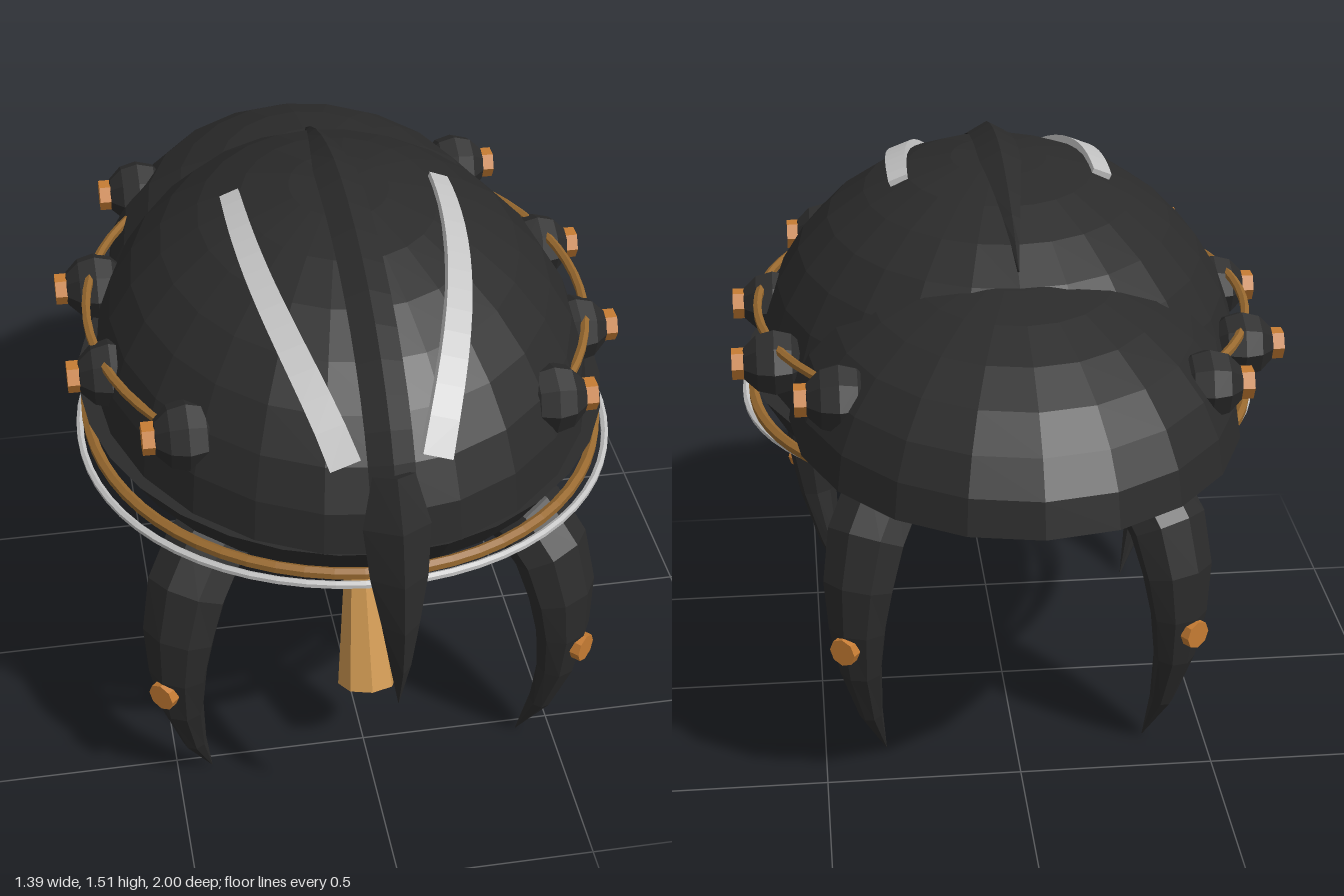
import * as THREE from 'three';

const mat = (name, color, side = THREE.FrontSide) => {
  const m = new THREE.MeshStandardMaterial({ color, side, flatShading: true });
  m.name = name;
  return m;
};

// Sweep an n-sided section along a path in the local xy plane.
// Each station: [x, y, half thickness in the plane, half width along z].
function sweep(stations, n) {
  const pos = [], idx = [];
  stations.forEach(([x, y, h, w], i) => {
    const a = stations[Math.max(i - 1, 0)], b = stations[Math.min(i + 1, stations.length - 1)];
    const t = new THREE.Vector2(b[0] - a[0], b[1] - a[1]).normalize();
    for (let j = 0; j < n; j++) {
      const k = (j / n) * Math.PI * 2, c = Math.cos(k) * h;
      pos.push(x - t.y * c, y + t.x * c, Math.sin(k) * w);
    }
  });
  for (let i = 0; i < stations.length - 1; i++)
    for (let j = 0; j < n; j++) {
      const a = i * n + j, b = i * n + (j + 1) % n;
      idx.push(a, b, a + n, b, b + n, a + n);
    }
  for (let j = 1; j < n - 1; j++) { // end caps
    const e = (stations.length - 1) * n;
    idx.push(0, j + 1, j, e, e + j, e + j + 1);
  }
  const g = new THREE.BufferGeometry();
  g.setAttribute('position', new THREE.Float32BufferAttribute(pos, 3));
  g.setIndex(idx);
  g.computeVertexNormals();
  return g;
}

export function createModel() {
  const root = new THREE.Group();
  const black = mat('black shell', 0x2b2b2b, THREE.DoubleSide);
  const silver = mat('silver', 0xc4c4c4);
  const bronze = mat('bronze trim', 0x98692f);
  const orange = mat('orange gold', 0xc67c33);
  const tan = mat('tan gold', 0xcc9650);

  const add = (name, geo, material, x = 0, y = 0, z = 0, parent = root) => {
    const m = new THREE.Mesh(geo, material);
    m.name = name;
    m.position.set(x, y, z);
    parent.add(m);
    return m;
  };

  // Main dome and the lower rear shell with its flat underside
  const C = new THREE.Vector3(0, 0.945, 0.1), R = new THREE.Vector3(0.625, 0.545, 0.77);
  const half = (w, d) => new THREE.SphereGeometry(1, w, d, 0, Math.PI * 2, 0, Math.PI / 2);
  add('dome', half(24, 8), black, C.x, C.y, C.z).scale.copy(R);
  add('rearShell', half(20, 7), black, 0, 0.95, -0.3).scale.set(0.56, 0.39, 0.7);
  const under = add('rearUnderside', new THREE.CircleGeometry(1, 20), black, 0, 0.95, -0.3);
  under.rotation.x = Math.PI / 2;
  under.scale.set(0.56, 0.7, 1);

  // Tapered band under the dome
  add('rimBand', new THREE.CylinderGeometry(1, 0.92, 0.09, 32), black, 0, 0.902, 0.1).scale.set(0.665, 1, 0.77);

  // Thin hoops; they sag at the sides
  const hoop = (name, material, rx, rz, cz, y, sag, r) => {
    const pts = [];
    for (let i = 0; i < 40; i++) {
      const a = (i / 40) * Math.PI * 2;
      pts.push(new THREE.Vector3(Math.sin(a) * rx, y - sag * Math.sin(a) ** 2, cz + Math.cos(a) * rz));
    }
    add(name, new THREE.TubeGeometry(new THREE.CatmullRomCurve3(pts, true), 64, r, 6, true), material);
  };
  hoop('rimHoop', bronze, 0.65, 0.765, 0.105, 0.895, 0.035, 0.015);
  hoop('silverHoop', silver, 0.672, 0.73, 0.15, 0.87, 0.038, 0.01);
  hoop('domeHoop', bronze, 0.63, 0.73, 0.04, 1.113, 0, 0.012);

  // Roof-shaped crest over the dome, fading out towards the back
  const crest = [];
  for (let i = 0; i <= 16; i++) {
    const a = 2.28 - (i / 16) * 2;
    const w = Math.min(1, Math.max(0.05, (2.28 - a) / 0.65));
    crest.push([C.z + R.z * Math.cos(a), C.y + R.y * Math.sin(a), 0.004 + 0.026 * w, 0.055 * w]);
  }
  add('crest', sweep(crest, 4), black).rotation.y = -Math.PI / 2;

  // Hooked horn at the front
  add('frontHorn', sweep([
    [0.835, 1.15, 0.045, 0.05], [0.885, 1.04, 0.075, 0.08], [0.922, 0.92, 0.068, 0.068],
    [0.95, 0.8, 0.05, 0.045], [0.96, 0.68, 0.03, 0.025], [0.945, 0.55, 0.001, 0.001],
  ], 4), black).rotation.y = -Math.PI / 2;

  // Silver stripes bent over the dome, widening to the front
  for (const s of [-1, 1]) {
    const g = new THREE.BoxGeometry(1, 0.03, 1, 1, 1, 14), p = g.attributes.position;
    const q = new THREE.Vector3(), nrm = new THREE.Vector3();
    for (let i = 0; i < p.count; i++) {
      const t = p.getZ(i) + 0.5;
      const x = s * (0.258 - 0.155 * t ** 2.4) + p.getX(i) * (0.045 + 0.023 * t), z = 0.04 + 0.755 * t;
      const k = 1 - (x / R.x) ** 2 - ((z - C.z) / R.z) ** 2;
      q.set(x, C.y + R.y * Math.sqrt(k), z);
      nrm.copy(q).sub(C).divide(R).divide(R).normalize();
      q.addScaledVector(nrm, p.getY(i) - 0.003 + 0.01 * t);
      p.setXYZ(i, q.x, q.y, q.z);
    }
    g.computeVertexNormals();
    add('stripe', g, silver);
  }

  // Knobs with hexagonal studs along both sides
  for (const s of [-1, 1])
    for (const [x, y, z] of [[0.44, 1.117, 0.56], [0.59, 1.06, 0.2], [0.59, 1.06, -0.2], [0.44, 1.117, -0.56]]) {
      add('knob', new THREE.SphereGeometry(0.087, 8, 6), black, s * x, y, z).rotation.z = Math.PI / 2;
      add('knobStud', new THREE.CylinderGeometry(0.04, 0.04, 0.06, 6), orange, s * (x + 0.076), y, z).rotation.z = Math.PI / 2;
    }

  // Round body under the dome
  add('body', new THREE.SphereGeometry(0.325, 14, 10), black, 0, 0.845, 0.12);

  // Round eye facing the front
  const eye = new THREE.Group();
  eye.name = 'eye';
  eye.position.set(0, 0.765, 0.415);
  eye.rotation.x = 0.12;
  root.add(eye);
  const disc = (name, r, d, m, z) => {
    add(name, new THREE.CylinderGeometry(r, r, d, 16), m, 0, 0, z, eye).rotation.x = Math.PI / 2;
  };
  disc('eyeSocket', 0.15, 0.16, black, -0.06);
  add('eyeRing', new THREE.TorusGeometry(0.148, 0.016, 6, 16), bronze, 0, 0, 0.015, eye);
  disc('eyeLens', 0.1, 0.04, orange, 0.02);

  // Flared spout hanging below the eye
  const top = new THREE.Vector3(0, 0.67, 0.425), end = new THREE.Vector3(0, 0.26, 0.55);
  const dir = top.clone().sub(end), mid = top.clone().add(end).multiplyScalar(0.5);
  add('spout', new THREE.CylinderGeometry(0.035, 0.077, dir.length(), 8), tan, mid.x, mid.y, mid.z)
    .quaternion.setFromUnitVectors(new THREE.Vector3(0, 1, 0), dir.normalize());

  // Four curved claw legs, each with a flat stud
  const legGeo = sweep([
    [0.2, 0.755, 0.08, 0.09], [0.36, 0.775, 0.082, 0.1], [0.48, 0.775, 0.085, 0.105], [0.58, 0.74, 0.088, 0.11],
    [0.648, 0.665, 0.085, 0.11], [0.687, 0.55, 0.076, 0.1], [0.698, 0.43, 0.063, 0.08], [0.687, 0.3, 0.049, 0.057],
    [0.647, 0.15, 0.03, 0.032], [0.58, 0.005, 0.001, 0.001],
  ], 8);
  for (const deg of [45, 135, 234, 306]) {
    const leg = new THREE.Group();
    leg.name = 'leg';
    leg.position.z = 0.12;
    leg.rotation.y = -THREE.MathUtils.degToRad(deg);
    root.add(leg);
    add('claw', legGeo, black, 0, 0, 0, leg);
    add('legStud', new THREE.CylinderGeometry(0.037, 0.037, 0.026, 8), orange, 0.756, 0.39, 0, leg).rotation.z = Math.PI / 2;
  }
  return root;
}
